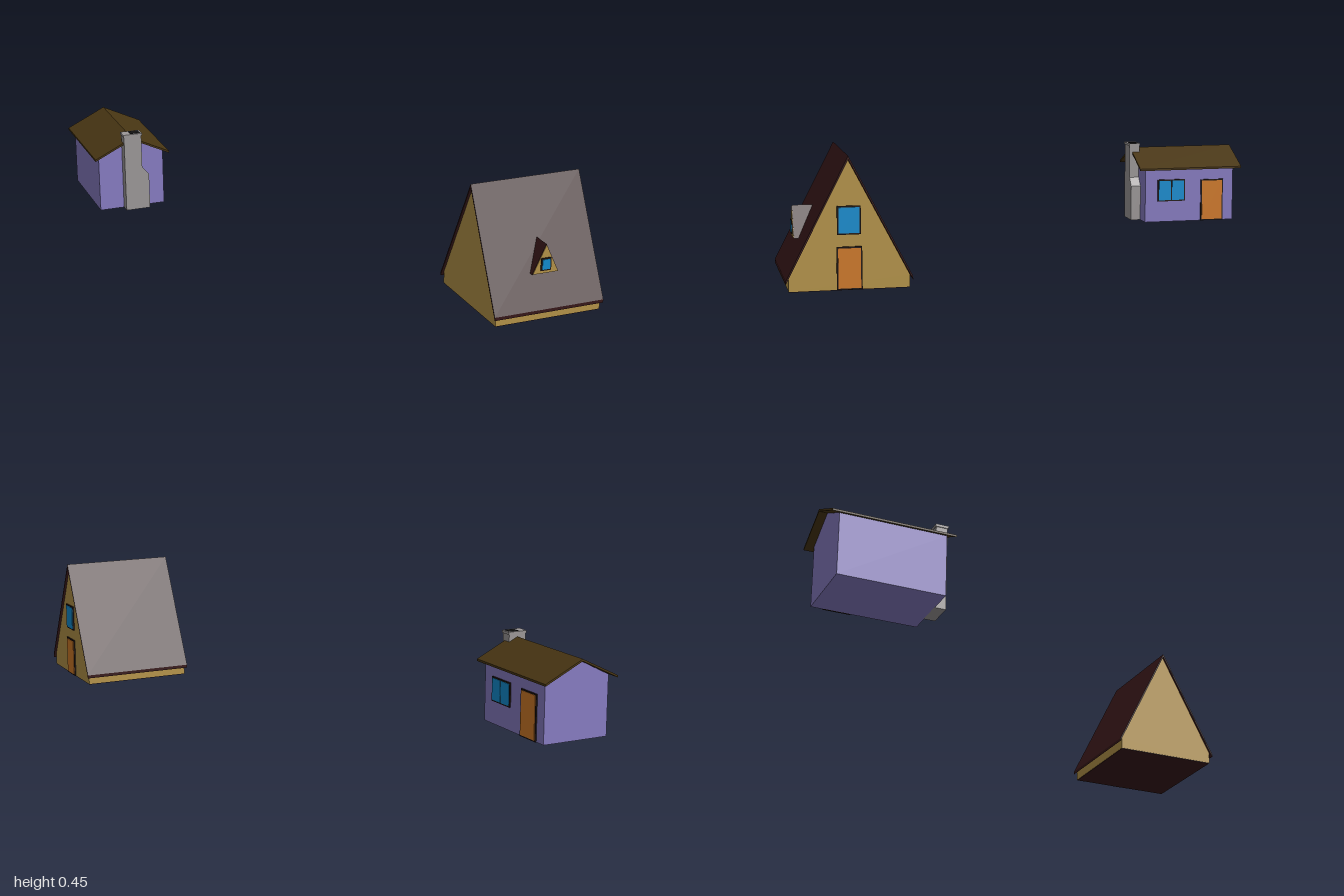
import * as THREE from 'three';

const COLORS = {
  timber: 0xb59449, darkRoof: 0x381819, lilac: 0x877cc2, brownRoof: 0x493613,
  stone: 0x9c9898, glass: 0x118dd0, door: 0xd07a28, frame: 0x1f1410, soot: 0x111111,
};

function add(parent, name, geometry, color) {
  const mesh = new THREE.Mesh(geometry, new THREE.MeshStandardMaterial({ color, flatShading: true }));
  mesh.name = name;
  parent.add(mesh);
  return mesh;
}

// box given by its minimum and maximum corners
function block(parent, name, min, max, color) {
  const size = max.map((v, i) => v - min[i]);
  const mesh = add(parent, name, new THREE.BoxGeometry(...size), color);
  mesh.position.set(...max.map((v, i) => (v + min[i]) / 2));
  return mesh;
}

// outline in x/y pushed along z from z0 to z1
function prism(points, z0, z1) {
  const shape = new THREE.Shape(points.map(([x, y]) => new THREE.Vector2(x, y)));
  return new THREE.ExtrudeGeometry(shape, { depth: z1 - z0, bevelEnabled: false }).translate(0, 0, z0);
}

// outline of a pitched slab
const chevron = (half, eave, ridge, t) =>
  [[-half, eave - t], [0, ridge - t], [half, eave - t], [half, eave], [0, ridge], [-half, eave]];

// outline of a gabled wall
const gable = (half, eave, ridge) => [[-half, 0], [half, 0], [half, eave], [0, ridge], [-half, eave]];

// framed panels side by side on a wall that faces +z
function opening(parent, name, x, y, z, w, h, color, panes = 1) {
  const group = new THREE.Group();
  group.name = name;
  group.position.set(x, y + h / 2, z);
  parent.add(group);
  const b = 0.005;
  block(group, 'frame', [-w / 2, -h / 2, -0.004], [w / 2, h / 2, 0.004], COLORS.frame);
  const pitch = (w - b) / panes;
  for (let i = 0; i < panes; i++) {
    const left = -w / 2 + b + i * pitch;
    block(group, 'panel', [left, -h / 2 + b, 0], [left + pitch - b, h / 2 - b, 0.006], color);
  }
}

// steep house: built with its gable facing +z, then turned to face +x
function steepHouse() {
  const house = new THREE.Group();
  house.name = 'steepHouse';
  add(house, 'walls', prism(gable(0.204, 0.043, 0.438), -0.204, 0.204), COLORS.timber);
  add(house, 'roof', prism(chevron(0.214, 0.038, 0.452, 0.012), -0.2125, 0.2125), COLORS.darkRoof);
  block(house, 'floor', [-0.203, 0, -0.203], [0.203, 0.003, 0.203], COLORS.darkRoof).position.y -= 0.002;
  opening(house, 'door', 0, 0, 0.205, 0.086, 0.146, COLORS.door);
  opening(house, 'upperWindow', 0, 0.187, 0.205, 0.08, 0.097, COLORS.glass);
  house.rotation.y = Math.PI / 2;
  house.position.set(0.4875, 0, 0.786);
  return house;
}

// small triangular dormer on the front slope of the steep house
function dormer() {
  const group = new THREE.Group();
  group.name = 'dormer';
  const triangle = (half, bottom, top) => [[-half, bottom], [half, bottom], [0, top]];
  add(group, 'dormerRoof', prism(triangle(0.051, 0.154, 0.262), 0.87, 0.955), COLORS.darkRoof);
  add(group, 'dormerFace', prism(triangle(0.049, 0.155, 0.259), 0.93, 0.957), COLORS.timber);
  opening(group, 'dormerWindow', 0, 0.165, 0.956, 0.04, 0.047, COLORS.glass);
  group.position.x = 0.488;
  return group;
}

function cottage() {
  const house = new THREE.Group();
  house.name = 'cottage';
  house.position.x = -0.553;
  add(house, 'walls', prism(gable(0.133, 0.226, 0.292), -0.97, -0.588), COLORS.lilac);
  add(house, 'roof', prism(chevron(0.1525, 0.226, 0.3, 0.008), -1, -0.56), COLORS.brownRoof);

  // door and double window on the +x wall
  const side = new THREE.Group();
  side.name = 'sideOpenings';
  side.rotation.y = Math.PI / 2;
  side.position.x = 0.133;
  house.add(side);
  opening(side, 'door', 0.877, 0, 0.001, 0.097, 0.173, COLORS.door);
  opening(side, 'doubleWindow', 0.7, 0.086, 0.001, 0.118, 0.091, COLORS.glass, 2);

  // stepped chimney with a rimmed, sooty flue
  const stack = [[-0.036, 0], [0.062, 0], [0.062, 0.143], [0.035, 0.177], [0.035, 0.312], [-0.036, 0.312]];
  add(house, 'chimney', prism(stack, -0.59, -0.548), COLORS.stone);
  block(house, 'chimneyCap', [-0.039, 0.31, -0.592], [0.038, 0.32, -0.545], COLORS.stone);
  block(house, 'flue', [-0.008, 0.312, -0.585], [0.031, 0.321, -0.552], COLORS.soot);
  return house;
}

export function createModel() {
  const model = new THREE.Group();
  model.name = 'twoHouses';
  model.add(steepHouse(), dormer(), cottage());
  return model;
}
